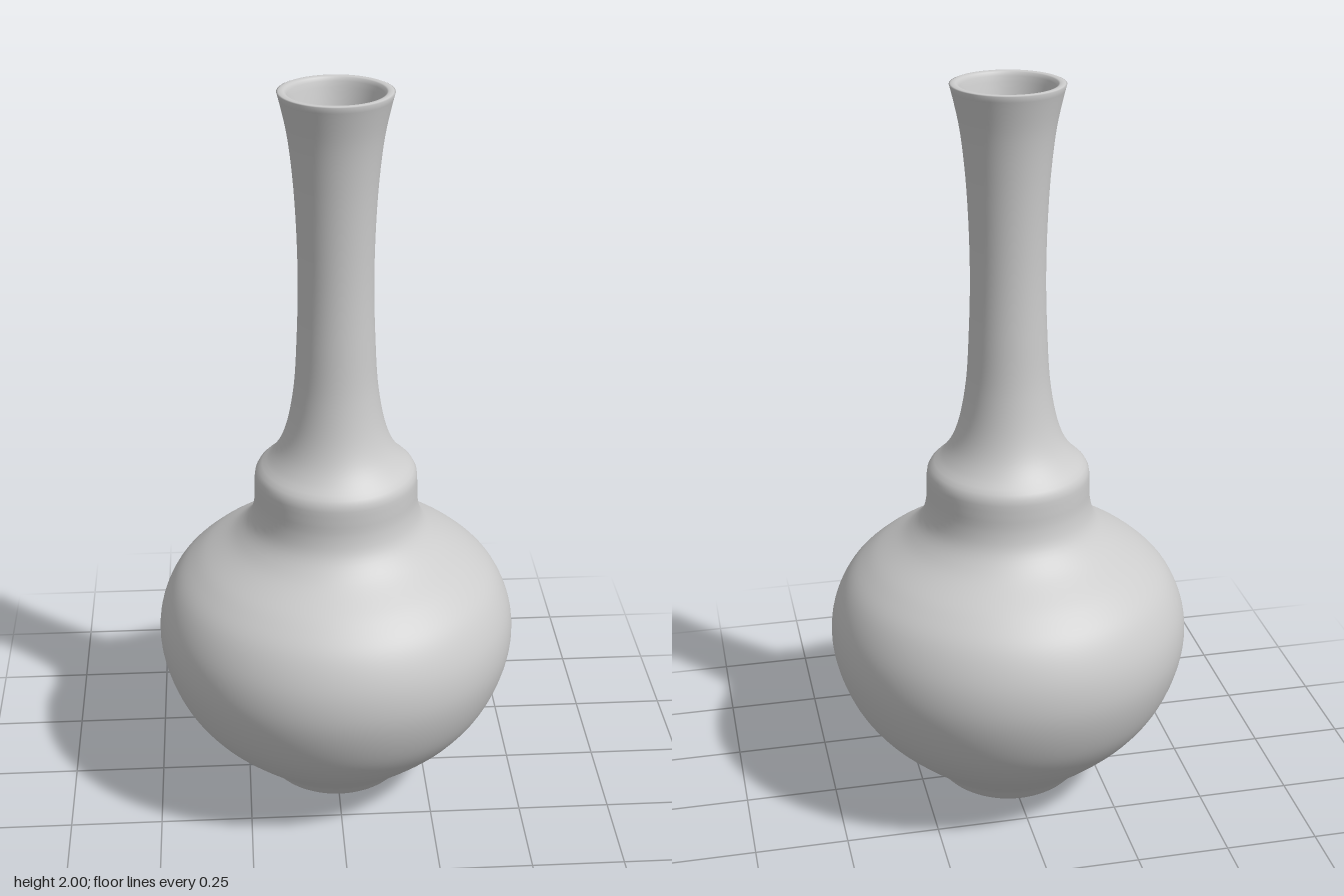
import * as THREE from 'three';

const WALL = 0.022;

// Outer silhouette as [radius, height], from the centre of the base to the rim
const PROFILE = [
  [0, 0], [0.09, 0.004], [0.16, 0.011], [0.185, 0.024], [0.23, 0.075],
  [0.31, 0.145], [0.385, 0.22], [0.44, 0.3], [0.478, 0.4], [0.489, 0.48],
  [0.478, 0.56], [0.44, 0.64], [0.38, 0.7], [0.275, 0.773], [0.235, 0.82],
  [0.221, 0.87], [0.219, 0.92], [0.214, 0.965], [0.18, 1.0], [0.155, 1.035],
  [0.133, 1.09], [0.112, 1.2], [0.102, 1.35], [0.098, 1.5], [0.101, 1.65],
  [0.109, 1.78], [0.122, 1.89], [0.139, 1.97], [0.146, 1.997],
];

export function createModel() {
  const group = new THREE.Group();
  const material = new THREE.MeshStandardMaterial({ color: 0xcccccc });

  const curve = new THREE.CatmullRomCurve3(
    PROFILE.map(([r, y]) => new THREE.Vector3(r, y, 0)), false, 'centripetal');
  const outer = [];
  const inner = [];
  const samples = 160;
  for (let i = 0; i <= samples; i++) {
    const p = curve.getPointAt(i / samples);
    const t = curve.getTangentAt(i / samples);
    outer.push(new THREE.Vector2(Math.max(p.x, 0), p.y));
    // Inner wall: the silhouette moved inwards along its normal
    inner.push(new THREE.Vector2(
      i === 0 ? 0 : Math.max(p.x - t.y * WALL, 0), Math.min(p.y + t.x * WALL, 1.997)));
  }

  // Rounded lip joining both walls
  const a = outer[samples];
  const b = inner[samples];
  const lip = [0.2, 0.5, 0.8].map((k) => {
    const p = a.clone().lerp(b, k);
    p.y = 1.997 + 0.003 * Math.sin(Math.PI * k);
    return p;
  });
  lip[1].y = 2;

  // Body, collar, neck and hollow inside in one smooth turned surface
  const vase = new THREE.Mesh(
    new THREE.LatheGeometry([...outer, ...lip, ...inner.reverse()], 96), material);
  vase.name = 'vase';
  group.add(vase);
  return group;
}
